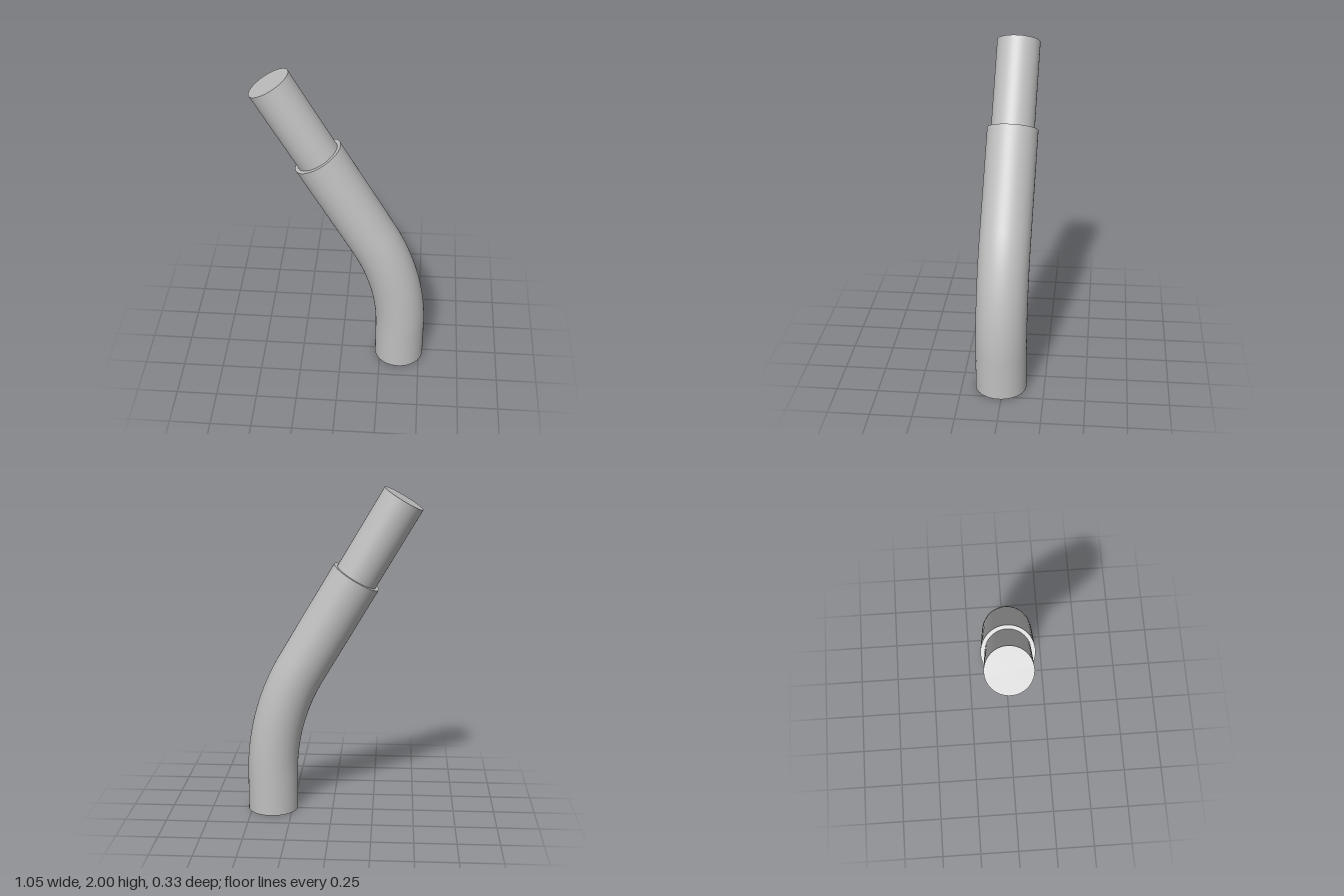
import * as THREE from 'three';

const SIDES = 64;
const BEND = THREE.MathUtils.degToRad(30.5); // bend angle
const BEND_R = 1.317;                        // bend radius along the axis
const BASE = 0.24, SLEEVE = 0.655, SPIGOT = 0.54;
const R_OUTER = 0.154, R_INNER = 0.131;

export function createModel() {
  const grey = new THREE.MeshStandardMaterial({ color: 0xbfbfbf });
  grey.name = 'plain grey';

  const add = (parent, name, geometry, y = 0) => {
    const mesh = new THREE.Mesh(geometry, grey);
    mesh.name = name;
    mesh.position.y = y;
    parent.add(mesh);
    return mesh;
  };
  // open cylinder wall standing on its local origin
  const wall = (r, h) => new THREE.CylinderGeometry(r, r, h, SIDES, 1, true).translate(0, h / 2, 0);

  // the pipe bends towards -x, in a plane turned slightly about the upright axis
  const pipe = new THREE.Group();
  pipe.name = 'bentPipe';
  pipe.position.set(0.372, 0, 0.013);
  pipe.rotation.y = -0.047;

  // upright foot with closed underside
  add(pipe, 'foot', wall(R_OUTER, BASE));
  add(pipe, 'footCap', new THREE.CircleGeometry(R_OUTER, SIDES).rotateX(Math.PI / 2));

  // curved elbow
  add(pipe, 'elbow', new THREE.TorusGeometry(BEND_R, R_OUTER, SIDES, 32, BEND).translate(-BEND_R, 0, 0), BASE);

  // straight upper run, leaning with the end of the elbow
  const upper = new THREE.Group();
  upper.name = 'upperRun';
  upper.position.set(-BEND_R * (1 - Math.cos(BEND)), BASE + BEND_R * Math.sin(BEND), 0);
  upper.rotation.z = BEND;
  add(upper, 'sleeve', wall(R_OUTER, SLEEVE));
  add(upper, 'sleeveRim', new THREE.RingGeometry(R_INNER, R_OUTER, SIDES).rotateX(-Math.PI / 2), SLEEVE);

  // narrower end piece with closed top
  add(upper, 'spigot', wall(R_INNER, SPIGOT), SLEEVE);
  add(upper, 'spigotCap', new THREE.CircleGeometry(R_INNER, SIDES).rotateX(-Math.PI / 2), SLEEVE + SPIGOT);
  pipe.add(upper);

  const model = new THREE.Group();
  model.name = 'pipeModel';
  model.add(pipe);
  return model;
}
